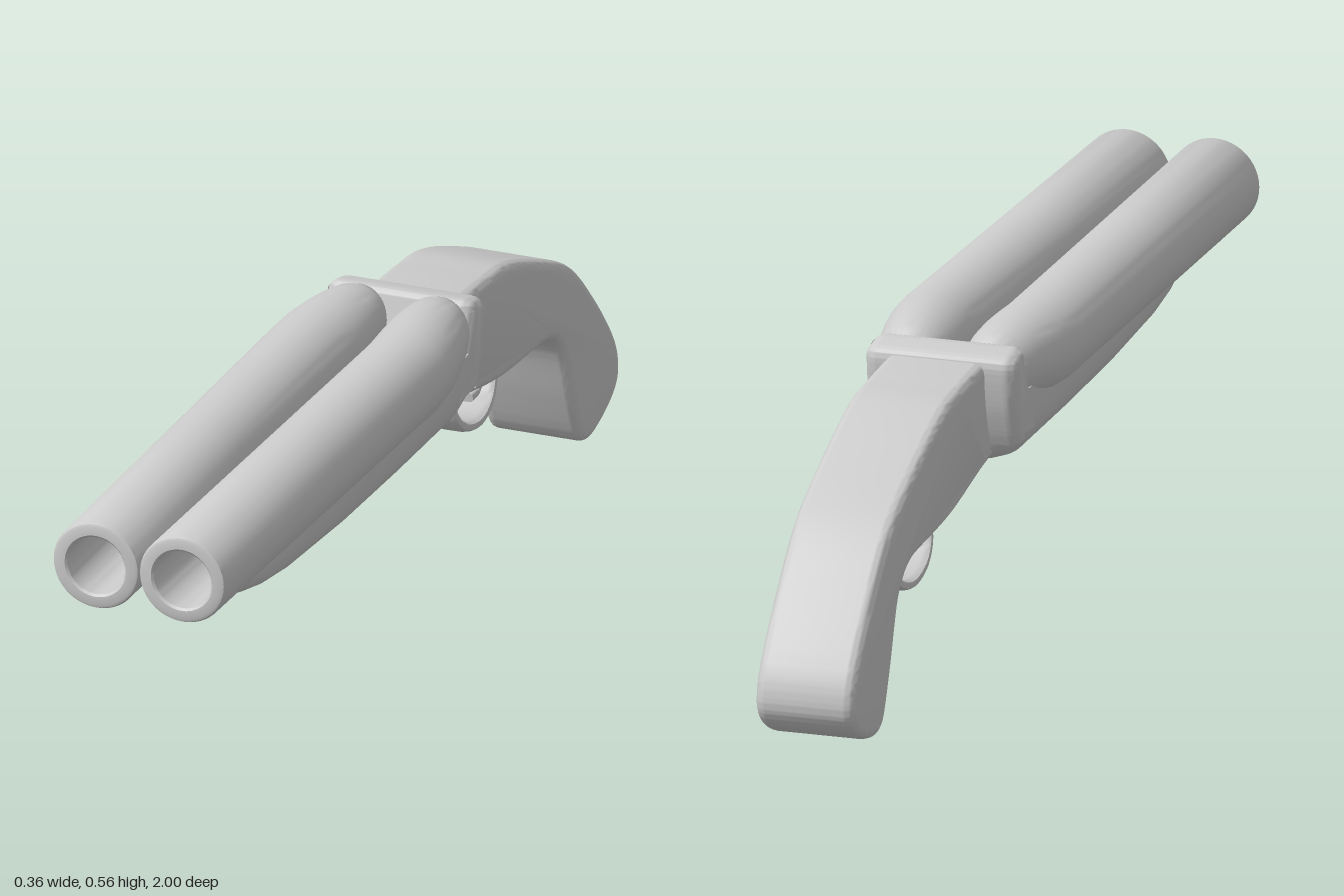
import * as THREE from 'three';
import { toCreasedNormals, mergeVertices } from 'three/addons/utils/BufferGeometryUtils.js';

const V = (x, y, z) => new THREE.Vector3(x, y, z);
const material = new THREE.MeshStandardMaterial({ color: 0xcccccc });

function addMesh(group, name, geometry) {
  const mesh = new THREE.Mesh(geometry, material);
  mesh.name = name;
  group.add(mesh);
}

// Skin a list of closed rings, each counter-clockwise about the direction of travel
function loft(rings, crease = 0.7) {
  const n = rings[0].length, index = [];
  for (let i = 0; i < rings.length - 1; i++) {
    for (let j = 0; j < n; j++) {
      const k = (j + 1) % n;
      const a = i * n + j, b = i * n + k, c = a + n, d = b + n;
      index.push(a, b, d, a, d, c);
    }
  }
  const geometry = new THREE.BufferGeometry().setFromPoints(rings.flat());
  geometry.setIndex(index);
  return toCreasedNormals(geometry, crease);
}

// Close both ends of a loft by collapsing a ring to its centre
function capped(rings) {
  const collapse = (ring) => {
    const c = ring.reduce((s, p) => s.add(p), V(0, 0, 0)).divideScalar(ring.length);
    return ring.map(() => c.clone());
  };
  return [collapse(rings[0]), ...rings, collapse(rings[rings.length - 1])];
}

// Hollow barrel: outside from breech to muzzle, then back down the bore
function barrel(breechX, midX, muzzleX) {
  const profile = [
    [-0.215, 0], [-0.215, 0.035], [-0.205, 0.05], [-0.18, 0.062], [-0.14, 0.071], [-0.09, 0.078],
    [-0.04, 0.082], [0.02, 0.083], [0.5, 0.083], [0.992, 0.083], [0.998, 0.08], [1, 0.075],
    [1, 0.059], [0.996, 0.055], [0.02, 0.055], [-0.15, 0.055], [-0.15, 0],
  ];
  return loft(profile.map(([z, r]) => {
    const back = THREE.MathUtils.clamp(-z / 0.215, 0, 1);
    const cx = z > 0 ? THREE.MathUtils.lerp(midX, muzzleX, z) : THREE.MathUtils.lerp(midX, breechX, back);
    const cy = 0.479 + 0.012 * back;
    return Array.from({ length: 48 }, (_, j) => {
      const a = (j / 48) * Math.PI * 2;
      return V(cx + r * Math.cos(a), cy + r * Math.sin(a), z);
    });
  }));
}

// Fore-end: U-shaped sections [z, half width, bottom]
function foreEnd() {
  const sections = [
    [-0.238, 0.115, 0.375], [-0.228, 0.128, 0.342], [-0.2, 0.136, 0.318], [-0.15, 0.14, 0.307],
    [0.1, 0.14, 0.31], [0.35, 0.138, 0.316], [0.6, 0.131, 0.329], [0.7, 0.122, 0.342],
    [0.77, 0.112, 0.358], [0.82, 0.098, 0.378], [0.84, 0.08, 0.4],
  ];
  const top = 0.45;
  return loft(capped(sections.map(([z, w, bottom]) => Array.from({ length: 33 }, (_, j) => {
    const a = Math.PI * (1 + j / 32), c = Math.cos(a), s = Math.abs(Math.sin(a));
    const lid = z > 0.6 ? THREE.MathUtils.mapLinear(z, 0.6, 0.84, top, 0.415) : top;
    return V(w * Math.sign(c) * Math.abs(c) ** 0.55, lid - (lid - bottom) * s ** 0.55, z);
  }))));
}

// Side outline given as [z, y], extruded across x with rounded edges
function sideExtrude(shape, width, bevel, centreX) {
  let geometry = new THREE.ExtrudeGeometry(shape, {
    depth: width - 2 * bevel, bevelEnabled: true, bevelThickness: bevel, bevelSize: bevel,
    bevelOffset: -bevel, bevelSegments: 6, curveSegments: 10,
  });
  geometry.translate(0, 0, bevel - width / 2);
  geometry.rotateY(Math.PI / 2);
  geometry.translate(centreX, 0, 0);
  geometry.deleteAttribute('uv');
  geometry.deleteAttribute('normal');
  geometry = mergeVertices(geometry, 1e-5);
  return toCreasedNormals(geometry, 0.7);
}
const flat = (points) => points.map(([z, y]) => new THREE.Vector2(-z, y));

// Curved strip in the centre plane, with a width that varies along it
function strip(points, halfWidth, thickness) {
  const curve = new THREE.CatmullRomCurve3(points.map(([z, y]) => V(0, y, z)));
  const across = V(1, 0, 0);
  const rings = Array.from({ length: 33 }, (_, i) => {
    const t = i / 32, p = curve.getPoint(t);
    const up = curve.getTangent(t).cross(across).normalize();
    return Array.from({ length: 16 }, (_, j) => {
      const a = (j / 16) * Math.PI * 2, c = Math.cos(a), s = Math.sin(a);
      return p.clone()
        .addScaledVector(across, halfWidth(t) * Math.sign(c) * Math.abs(c) ** 0.5)
        .addScaledVector(up, thickness * Math.sign(s) * Math.abs(s) ** 0.6);
    });
  });
  return loft(capped(rings));
}

export function createModel() {
  const group = new THREE.Group();
  group.name = 'shotgun';

  // Twin barrels, slightly converging to one side
  addMesh(group, 'rightBarrel', barrel(-0.078, -0.095, -0.097));
  addMesh(group, 'leftBarrel', barrel(0.075, 0.094, 0.068));
  addMesh(group, 'foreEnd', foreEnd());

  // Breech collar between barrels and grip
  const collar = new THREE.Shape();
  collar.moveTo(0.13, 0.36);
  collar.lineTo(0.195, 0.515);
  collar.splineThru(flat([[-0.205, 0.537], [-0.235, 0.535], [-0.262, 0.525], [-0.268, 0.5],
    [-0.26, 0.44], [-0.245, 0.39], [-0.232, 0.36]]));
  collar.closePath();
  addMesh(group, 'breechCollar', sideExtrude(collar, 0.284, 0.025, -0.003));

  // Curved pistol grip
  const grip = new THREE.Shape();
  grip.moveTo(0.214, 0.327);
  grip.lineTo(0.23, 0.519);
  grip.splineThru(flat([[-0.29, 0.517], [-0.38, 0.511], [-0.477, 0.499], [-0.61, 0.451], [-0.77, 0.375],
    [-0.88, 0.275], [-0.972, 0.166], [-0.999, 0.1], [-0.987, 0.056], [-0.943, 0.025], [-0.874, 0.003],
    [-0.838, 0.006], [-0.812, 0.03], [-0.777, 0.11], [-0.74, 0.21], [-0.71, 0.247], [-0.675, 0.266],
    [-0.627, 0.274], [-0.45, 0.286], [-0.29, 0.316], [-0.22, 0.327]]));
  grip.closePath();
  addMesh(group, 'grip', sideExtrude(grip, 0.186, 0.02, 0.005));

  // Trigger guard loop and trigger
  addMesh(group, 'triggerGuard', strip([[-0.405, 0.3], [-0.388, 0.265], [-0.388, 0.228], [-0.425, 0.192],
    [-0.5, 0.175], [-0.56, 0.193], [-0.595, 0.235], [-0.635, 0.285]],
  (t) => 0.024 + 0.014 * Math.sin(Math.PI * t) ** 2, 0.01));
  addMesh(group, 'trigger', strip([[-0.525, 0.3], [-0.54, 0.262], [-0.543, 0.235], [-0.53, 0.216],
    [-0.503, 0.213]], (t) => 0.021 - 0.006 * t, 0.009));

  return group;
}
